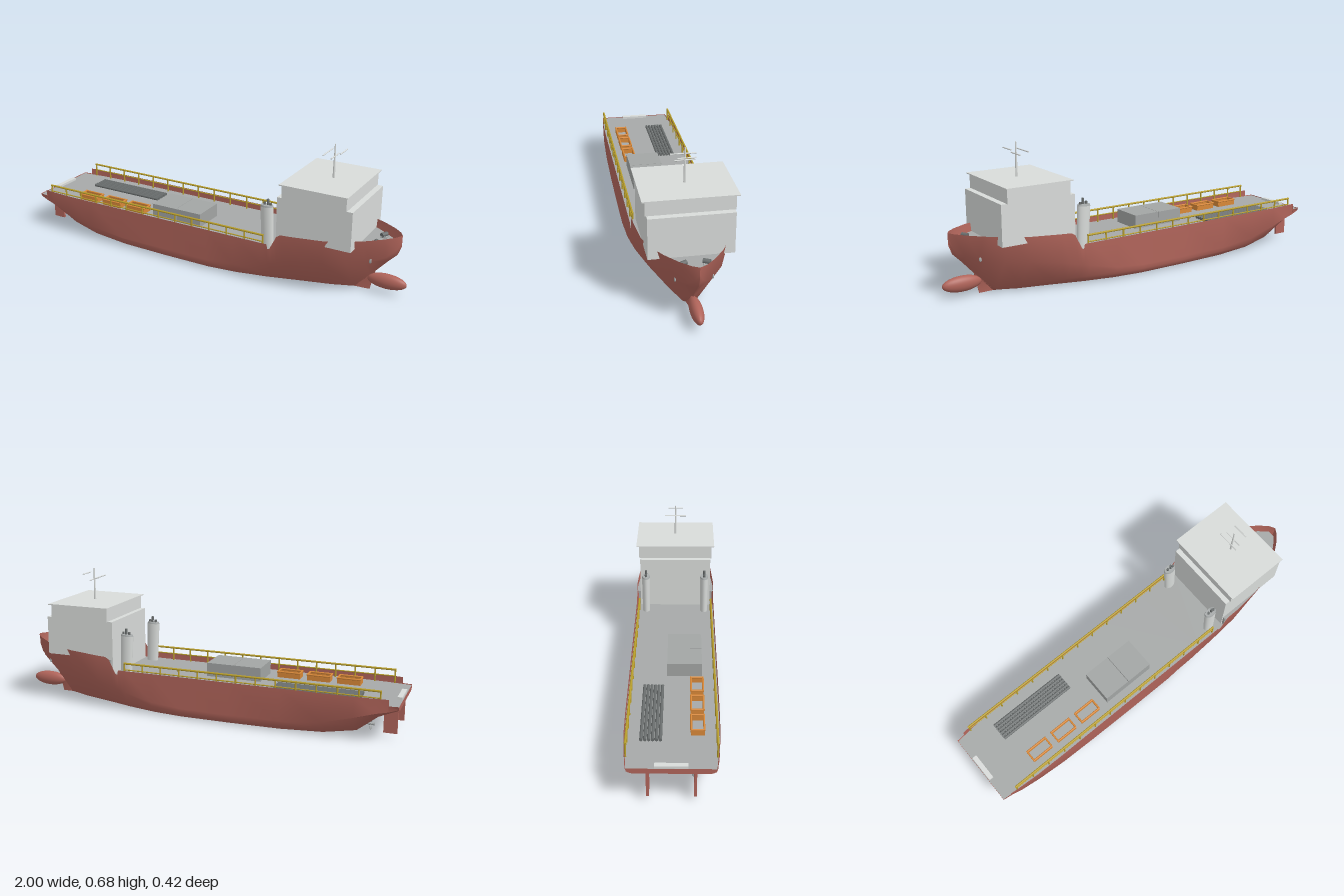
import * as THREE from 'three';
import { toCreasedNormals } from 'three/addons/utils/BufferGeometryUtils.js';

const mat = (name, color, side = THREE.FrontSide) => {
  const m = new THREE.MeshStandardMaterial({ color, side });
  m.name = name;
  return m;
};

// Hull stations: x, keel height, bottom half width, knuckle height, knuckle half width, top half width
const STATIONS = [
  [-1, .155, .17, .165, .185, .19], [-.955, .125, .165, .15, .19, .195], [-.9, .085, .15, .14, .2, .2],
  [-.8, .004, .14, .11, .206, .206], [-.65, 0, .165, .07, .208, .208], [-.45, 0, .2, .05, .208, .208],
  [-.2, 0, .208, .05, .208, .208], [.05, 0, .208, .05, .208, .208], [.2, 0, .19, .065, .208, .208],
  [.35, 0, .155, .1, .207, .208], [.5, 0, .11, .14, .202, .208], [.65, 0, .06, .165, .178, .197],
  [.75, 0, .03, .17, .14, .165], [.82, 0, .007, .175, .095, .128], [.842, .1, .005, .18, .079, .113],
  [.9, .165, .003, .2, .045, .07], [.94, .205, .002, .235, .016, .03], [.957, .25, 0, .27, 0, 0],
];
// Height of the hull's upper edge along x
const SHEER = [[-1, .18], [-.955, .18], [-.9549, .21], [.38, .21], [.385, .187], [.395, .19], [.41, .22],
  [.43, .26], [.45, .272], [.65, .285], [.957, .305]];
// Lift of the bilge corner above the keel: stern rise and hollow bow
const LIFT = [[-1, 0], [-.85, .03], [-.7, 0], [.7, 0], [.75, .01], [.82, .08], [.842, .004], [.957, 0]];

function sample(table, x) {
  let i = 0;
  while (i < table.length - 2 && x > table[i + 1][0]) i++;
  const a = table[i], b = table[i + 1];
  const t = THREE.MathUtils.clamp((x - a[0]) / (b[0] - a[0]), 0, 1);
  return a.map((v, k) => v + (b[k] - v) * t);
}

// Half section from keel to upper edge, as [y, z]
function halfSection(x) {
  const [, keel, bw, ky, kw, tw] = sample(STATIONS, x);
  const top = sample(SHEER, x)[1];
  const corner = new THREE.Vector2(bw, keel + sample(LIFT, x)[1]);
  const knuckle = new THREE.Vector2(kw, ky);
  const k0 = new THREE.Vector2(0, keel);
  const r = Math.min(.045, bw * .5, corner.distanceTo(knuckle) * .9);
  const toward = p => corner.clone().add(p.clone().sub(corner).setLength(r));
  const bilge = new THREE.QuadraticBezierCurve(toward(k0), corner, toward(knuckle)).getPoints(6);
  return [k0, ...bilge, knuckle, new THREE.Vector2(tw, top)].map(p => [p.y, p.x]);
}

function hullGeometry() {
  const xs = [...new Set([...STATIONS, ...SHEER].map(s => s[0]))].sort((a, b) => a - b);
  const pos = [], idx = [];
  let n = 0;
  for (const x of xs) {
    const half = halfSection(x);
    const ring = [...half.slice(1).reverse().map(([y, z]) => [y, -z]), ...half];
    n = ring.length;
    ring.forEach(([y, z]) => pos.push(x, y, z));
  }
  for (let i = 0; i < xs.length - 1; i++) {
    for (let j = 0; j < n - 1; j++) {
      const a = i * n + j, b = a + n;
      idx.push(a, b, a + 1, b, b + 1, a + 1);
    }
  }
  // transom
  for (let j = 0; j < (n - 1) / 2; j++) {
    const k = n - 1 - j;
    idx.push(j, j + 1, k, j + 1, k - 1, k);
  }
  const g = new THREE.BufferGeometry();
  g.setAttribute('position', new THREE.Float32BufferAttribute(pos, 3));
  g.setIndex(idx);
  return toCreasedNormals(g, .7);
}

// Flat deck reaching the hull's inner side at height y
function deckGeometry(x0, x1, y) {
  const pts = [];
  for (let i = 0; i <= 24; i++) {
    const x = x0 + (x1 - x0) * i / 24;
    const [, , , ky, kw, tw] = sample(STATIONS, x);
    const t = Math.min(1, (y - ky) / (sample(SHEER, x)[1] - ky));
    pts.push(new THREE.Vector2(x, Math.max(.001, kw + (tw - kw) * t - .002)));
  }
  const mirrored = pts.map(p => new THREE.Vector2(p.x, -p.y)).reverse();
  return new THREE.ShapeGeometry(new THREE.Shape([...pts, ...mirrored])).rotateX(-Math.PI / 2).translate(0, y, 0);
}

export function createModel() {
  const ship = new THREE.Group();
  ship.name = 'supplyShip';
  const hullRed = mat('hull red', 0xb0645a, THREE.DoubleSide);
  const deckGrey = mat('deck grey', 0xa6a9a8, THREE.DoubleSide);
  const white = mat('house light grey', 0xd8dbd9);
  const cargoGrey = mat('cargo grey', 0xa2a5a4);
  const dark = mat('dark grey', 0x6a6e6e);
  const metal = mat('metal grey', 0xa8acac);
  const orange = mat('basket orange', 0xd88838);
  const yellow = mat('rail yellow', 0xb89e2c);

  const add = (name, geo, m, x = 0, y = 0, z = 0, parent = ship) => {
    const mesh = new THREE.Mesh(geo, m);
    mesh.name = name;
    mesh.position.set(x, y, z);
    parent.add(mesh);
    return mesh;
  };
  // Box given by its limits
  const box = (name, m, x0, x1, y0, y1, z0, z1, parent = ship) =>
    add(name, new THREE.BoxGeometry(x1 - x0, y1 - y0, z1 - z0), m,
      (x0 + x1) / 2, (y0 + y1) / 2, (z0 + z1) / 2, parent);
  // Round bar centred at a point, upright or along x or z
  const bar = (name, m, axis, r, length, x, y, z, parent = ship) => {
    const g = new THREE.CylinderGeometry(r, r, length, 14);
    if (axis === 'x') g.rotateZ(Math.PI / 2);
    if (axis === 'z') g.rotateX(Math.PI / 2);
    return add(name, g, m, x, y, z, parent);
  };

  // Hull and decks
  add('hull', hullGeometry(), hullRed);
  add('bulbousBow', new THREE.SphereGeometry(1, 28, 18).scale(.095, .037, .028), hullRed, .9, .061, 0);
  add('mainDeck', deckGeometry(-.999, .43, .177), deckGrey);
  add('foreDeck', deckGeometry(.43, .94, .256), deckGrey);
  box('deckBulkhead', deckGrey, .425, .46, .177, .256, -.2, .2);
  box('sternRoller', white, -.995, -.972, .17, .189, -.07, .07);

  // Deckhouse
  box('deckhouse', white, .418, .785, .255, .447, -.188, .188);
  box('houseAftLower', white, .418, .5, .177, .256, -.188, .188);
  box('bridge', white, .443, .757, .446, .514, -.194, .194);
  box('bridgeRoof', white, .435, .766, .513, .518, -.208, .208);

  // Mast with cross bars
  add('mast', new THREE.CylinderGeometry(.003, .006, .165, 14), white, .612, .597, 0);
  for (const [x, y, h] of [[.613, .622, .045], [.578, .636, .057], [.655, .65, .04]])
    bar('mastBar', white, 'z', .003, h * 2, x, y, 0);

  // Paired parts
  for (const s of [-1, 1]) {
    // funnel
    const funnel = new THREE.Group();
    funnel.name = 'funnel';
    funnel.position.set(.36, .177, s * .155);
    funnel.rotation.z = .04;
    ship.add(funnel);
    add('funnelCasing', new THREE.CylinderGeometry(.033, .03, .2, 20).scale(1, 1, .65), white, 0, .1, 0, funnel);
    add('funnelTop', new THREE.CylinderGeometry(.03, .033, .008, 20).scale(1, 1, .65), metal, 0, .204, 0, funnel);
    for (const [x, h] of [[.006, .03], [-.012, .014], [.02, .012]])
      bar('exhaustPipe', dark, 'y', .006, h, x, .206 + h / 2, 0, funnel);

    // side rail
    const rail = new THREE.Group();
    rail.name = 'sideRail';
    ship.add(rail);
    const rz = s * .192;
    bar('topRail', yellow, 'x', .005, 1.275, -.2825, .244, rz, rail);
    bar('lowerRail', yellow, 'x', .003, 1.275, -.2825, .212, rz, rail);
    for (let i = 0; i <= 13; i++)
      bar('railPost', yellow, 'y', .004, .066, -.917 + i * 1.269 / 13, .21, rz, rail);

    // rudder and propeller
    box('rudder', hullRed, -.985, -.922, .024, .16, s * .1 - .006, s * .1 + .006);
    const prop = new THREE.Group();
    prop.name = 'propeller';
    prop.position.set(-.865, .058, s * .1);
    ship.add(prop);
    bar('propellerHub', metal, 'x', .007, .03, 0, 0, 0, prop);
    bar('propellerShaft', metal, 'x', .004, .1, .05, 0, 0, prop);
    for (let i = 0; i < 4; i++) {
      const blade = new THREE.SphereGeometry(1, 10, 8).scale(.002, .013, .008).rotateY(.6).translate(0, .015, 0);
      add('propellerBlade', blade, metal, 0, 0, 0, prop).rotation.x = i * Math.PI / 2 + .4;
    }

    // bow anchor and winch
    add('anchor', new THREE.SphereGeometry(1, 14, 10).scale(.007, .012, .004), metal, .842, .185, s * .081);
    const winch = bar('winchDrum', dark, 'z', .011, .032, .855, .268, s * .05);
    winch.rotation.y = s * .5;
    box('winchBase', metal, .84, .872, .256, .262, s * .05 - .016, s * .05 + .016);
  }

  // Cargo containers
  for (const x of [-.305, -.164]) box('container', cargoGrey, x, x + .139, .177, .245, -.03, .135);

  // Open baskets with a rounded rim
  for (const x of [-.715, -.565, -.415]) {
    const basket = new THREE.Group();
    basket.name = 'basket';
    basket.position.set(x, .177, .11);
    ship.add(basket);
    for (const s of [-1, 1]) {
      box('basketSide', orange, -.056, .056, 0, .028, s * .028 - .002, s * .028 + .002, basket);
      box('basketEnd', orange, s * .055 - .002, s * .055 + .002, 0, .028, -.028, .028, basket);
      bar('basketRim', orange, 'x', .0045, .118, 0, .028, s * .028, basket);
      bar('basketRim', orange, 'z', .0045, .06, s * .055, .028, 0, basket);
    }
  }

  // Stack of pipes
  for (let i = 0; i < 6; i++)
    bar('deckPipe', dark, 'x', .0075, .415, -.608, .185, -.132 + i * .0165);

  return ship;
}
